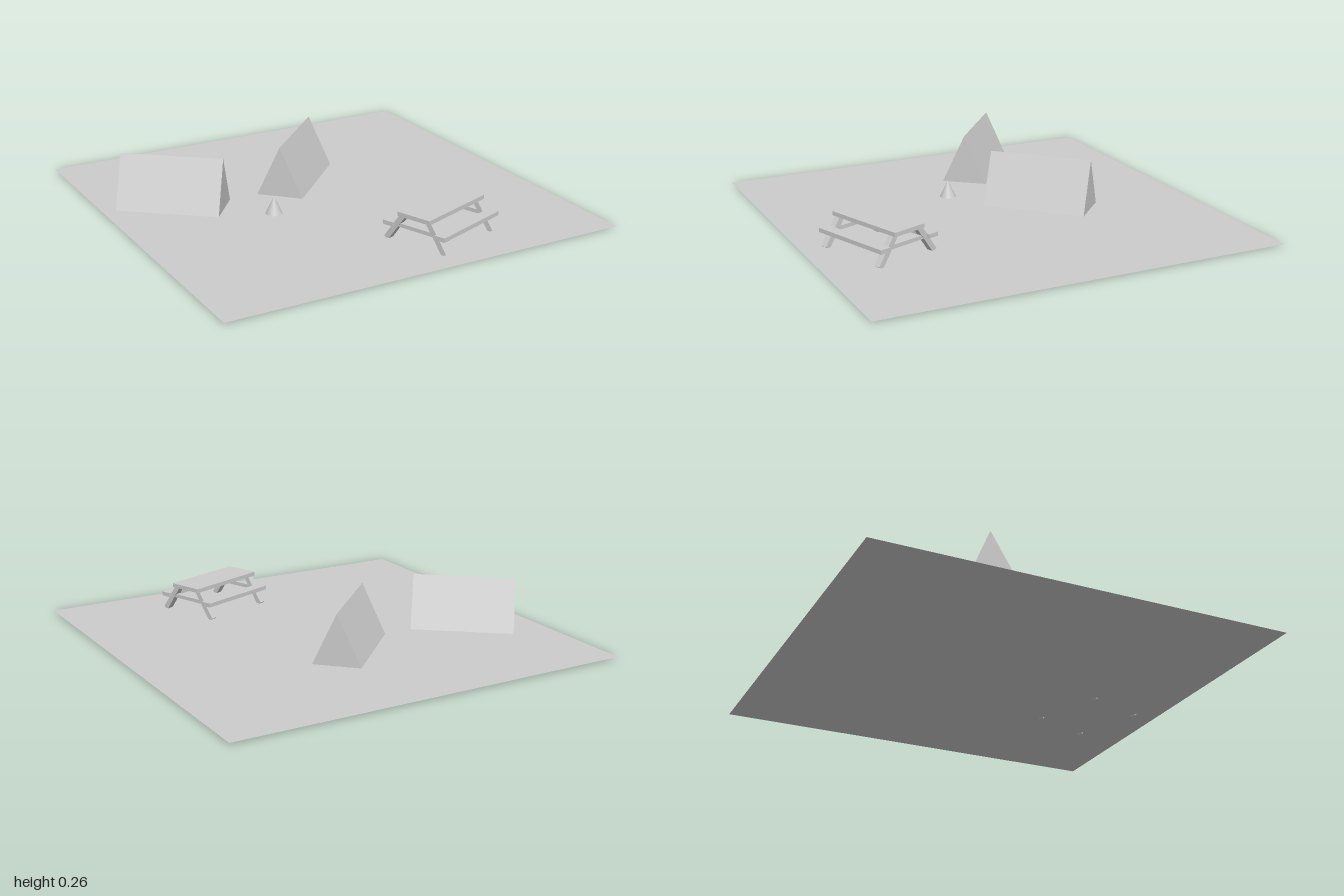
import * as THREE from 'three';

const GROUND_Y = 0.008;
const mat = new THREE.MeshStandardMaterial({ color: 0xcccccc, flatShading: true });
const smoothMat = new THREE.MeshStandardMaterial({ color: 0xcccccc });
const thinMat = new THREE.MeshStandardMaterial({ color: 0xcccccc, side: THREE.DoubleSide });

function addMesh(parent, name, geometry, x, y, z, material = mat) {
  const mesh = new THREE.Mesh(geometry, material);
  mesh.name = name;
  mesh.position.set(x, y, z);
  parent.add(mesh);
  return mesh;
}

// Triangular prism with its ridge along local x
function addTent(parent, name, x, z, angle, length) {
  const w = 0.115, h = 0.249;
  const shape = new THREE.Shape([
    new THREE.Vector2(-w, 0), new THREE.Vector2(w, 0), new THREE.Vector2(0, h),
  ]);
  const geometry = new THREE.ExtrudeGeometry(shape, { depth: length, bevelEnabled: false });
  geometry.translate(0, 0, -length / 2).rotateY(Math.PI / 2);
  addMesh(parent, name, geometry, x, GROUND_Y, z).rotation.y = angle;
}

// Table top, two benches, four splayed legs and two bench supports
function createPicnicTable() {
  const table = new THREE.Group();
  table.name = 'picnicTable';
  const length = 0.42, legX = 0.18;
  addMesh(table, 'tableTop', new THREE.BoxGeometry(length, 0.02, 0.175), 0, 0.146, 0);

  const foot = { y: 0.008, z: 0.16 }, head = { y: 0.137, z: 0.07 };
  const legLength = Math.hypot(head.y - foot.y, foot.z - head.z);
  const tilt = Math.atan2(foot.z - head.z, head.y - foot.y);
  for (const side of [-1, 1]) {
    addMesh(table, 'bench', new THREE.BoxGeometry(length, 0.02, 0.055), 0, 0.087, side * 0.142);
    addMesh(table, 'benchSupport', new THREE.BoxGeometry(0.025, 0.018, 0.29), side * legX, 0.086, 0);
    for (const end of [-1, 1]) {
      const leg = addMesh(table, 'leg', new THREE.BoxGeometry(0.032, legLength, 0.026),
        end * legX, (foot.y + head.y) / 2, side * (foot.z + head.z) / 2);
      leg.rotation.x = -side * tilt;
    }
  }
  return table;
}

export function createModel() {
  const model = new THREE.Group();
  model.name = 'campsite';

  // Flat ground sheet
  const ground = new THREE.PlaneGeometry(2, 2).rotateX(-Math.PI / 2);
  addMesh(model, 'ground', ground, 0, GROUND_Y, 0, thinMat);

  // Two tents facing the campfire
  addTent(model, 'rightTent', -0.67, -0.245, -0.68, 0.5);
  addTent(model, 'leftTent', 0.006, -0.275, Math.PI / 4, 0.51);

  // Campfire cone between the tents
  addMesh(model, 'campfire', new THREE.ConeGeometry(0.04, 0.085, 32),
    -0.3, GROUND_Y + 0.0435, 0.085, smoothMat);

  const table = createPicnicTable();
  table.position.set(0.245, 0, 0.672);
  table.rotation.y = THREE.MathUtils.degToRad(20);
  model.add(table);

  return model;
}
